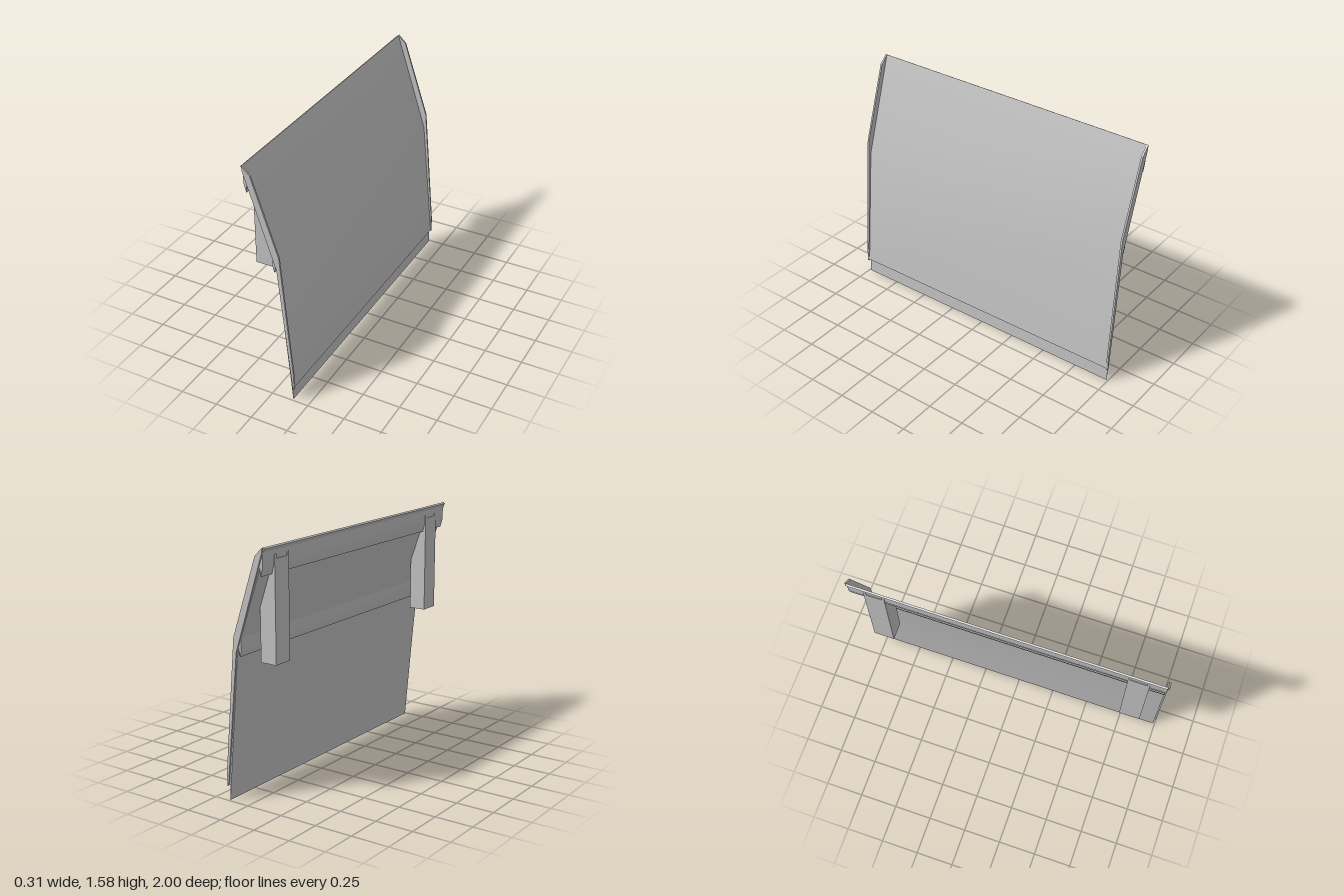
import * as THREE from 'three';
import { toCreasedNormals } from 'three/addons/utils/BufferGeometryUtils.js';

const grey = new THREE.MeshStandardMaterial({ color: 0xc0c0c0 });
grey.name = 'paintedMetalGrey';

// Extrudes an x-y profile along z from z0 to z1, keeping gentle bends smooth.
function slab(name, points, z0, z1) {
  const shape = new THREE.Shape(points.map(([x, y]) => new THREE.Vector2(x, y)));
  const geometry = new THREE.ExtrudeGeometry(shape, { depth: z1 - z0, bevelEnabled: false });
  geometry.translate(0, 0, z0);
  const mesh = new THREE.Mesh(toCreasedNormals(geometry, 0.3), grey);
  mesh.name = name;
  return mesh;
}

const rect = (x0, y0, x1, y1) => [[x0, y0], [x1, y0], [x1, y1], [x0, y1]];

// Bent sheet with a recessed bottom strip and two hooked ribs on its back
const panelProfile = [
  [-0.155, 1.573], [-0.143, 1.58], [0.07, 0.93], [0.153, 0.1], [0.139, 0.1], [0.143, 0],
  [0.128, 0.17], [0.062, 0.91], [0.05, 0.97], [0.042, 0.915], [0.031, 0.955], [0.031, 1.03],
  [-0.118, 1.46], [-0.123, 1.41], [-0.139, 1.47], [-0.139, 1.55],
];

// Raised end flange, standing slightly proud of the sheet
const flangeProfile = [
  [-0.143, 1.58], [-0.09, 1.53], [0.08, 1.03], [0.155, 0.19], [0.155, 0.09],
  [0.146, 0.1], [0.062, 0.94], [-0.14, 1.55],
];

// Side wall of a post, its top cut to the slope of the sheet
const postProfile = [
  [-0.144, 0.87], [-0.032, 0.87], [-0.032, 1.2], [-0.125, 1.47], [-0.144, 1.53],
];

export function createModel() {
  const model = new THREE.Group();
  model.name = 'bentPanel';
  model.add(slab('panelSheet', panelProfile, -0.99, 0.99));

  for (const side of [-1, 1]) {
    const end = side < 0 ? 'Back' : 'Front';
    const [f0, f1] = [0.988 * side, side].sort((a, b) => a - b);
    model.add(slab('endFlange' + end, flangeProfile, f0, f1));

    // Hollow mounting post, open at the bottom
    const post = new THREE.Group();
    post.name = 'mountingPost' + end;
    const c = 0.822 * side, h = 0.066, t = 0.016;
    post.add(
      slab('postSideWall', postProfile, c - h, c - h + t),
      slab('postSideWall', postProfile, c + h - t, c + h),
      slab('postOuterWall', rect(-0.144, 0.87, -0.128, 1.5), c - h + t, c + h - t),
      slab('postInnerWall', rect(-0.048, 0.87, -0.032, 1.2), c - h + t, c + h - t),
    );
    model.add(post);
  }
  return model;
}
